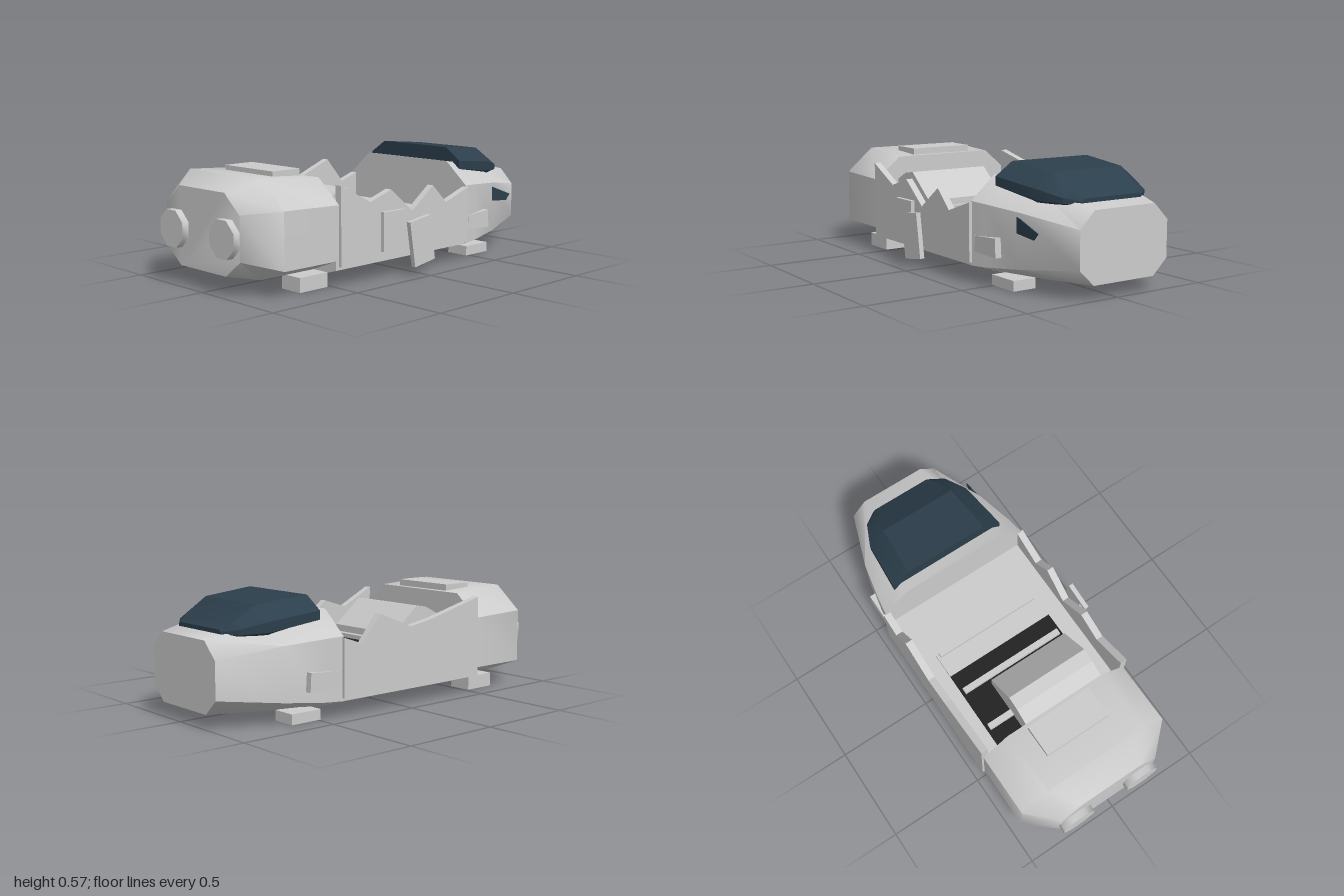
import * as THREE from 'three';
import { toCreasedNormals } from 'three/addons/utils/BufferGeometryUtils.js';

const CZ = -0.037; // centre line of the hull

const grey = new THREE.MeshStandardMaterial({ color: 0xcccccc });
grey.name = 'hull grey';
const glass = new THREE.MeshStandardMaterial({ color: 0x2c3f4c });
glass.name = 'dark glass';
const black = new THREE.MeshStandardMaterial({ color: 0x222222 });
black.name = 'deck black';

// Closed loft of eight-sided sections: [x, bottom, sideLow, sideHigh, top, halfSide, halfTop, halfBottom]
function loft(sections, crease) {
  const pos = [], idx = [], n = 8;
  for (const [x, y0, s0, s1, y1, half, top, bot] of sections) {
    const ring = [[-bot, y0], [-half, s0], [-half, s1], [-top, y1], [top, y1], [half, s1], [half, s0], [bot, y0]];
    for (const [z, y] of ring) pos.push(x, y, z + CZ);
  }
  const last = (sections.length - 1) * n;
  for (let i = 0; i < last; i += n) {
    for (let j = 0; j < n; j++) {
      const k = (j + 1) % n;
      idx.push(i + j, i + k, i + n + k, i + j, i + n + k, i + n + j);
    }
  }
  for (let j = 1; j < n - 1; j++) idx.push(0, j + 1, j, last, last + j, last + j + 1);
  const geo = new THREE.BufferGeometry();
  geo.setAttribute('position', new THREE.Float32BufferAttribute(pos, 3));
  geo.setIndex(idx);
  return toCreasedNormals(geo, crease);
}

// Flat outline in x and y, extruded from z0 to z1
function plate(points, z0, z1) {
  const shape = new THREE.Shape(points.map(([x, y]) => new THREE.Vector2(x, y)));
  const geo = new THREE.ExtrudeGeometry(shape, { depth: z1 - z0, bevelEnabled: false });
  return geo.translate(0, 0, z0);
}

function span(x0, x1, y0, y1, z0, z1) {
  return new THREE.BoxGeometry(x1 - x0, y1 - y0, z1 - z0)
    .translate((x0 + x1) / 2, (y0 + y1) / 2, (z0 + z1) / 2);
}

export function createModel() {
  const model = new THREE.Group();
  model.name = 'wreckedShip';
  const add = (name, geo, mat = grey) => {
    const mesh = new THREE.Mesh(geo, mat);
    mesh.name = name;
    model.add(mesh);
    return mesh;
  };

  // Hull: rear pod, open middle, tapered nose
  add('rearHull', loft([
    [-0.965, 0.09, 0.17, 0.38, 0.47, 0.275, 0.17, 0.17],
    [-0.83, 0.065, 0.13, 0.40, 0.525, 0.417, 0.27, 0.25],
    [-0.5, 0.065, 0.13, 0.39, 0.505, 0.417, 0.28, 0.25],
  ], 0.85));
  add('middleHull', loft([
    [-0.52, 0.03, 0.085, 0.24, 0.25, 0.415, 0.405, 0.235],
    [0.41, 0.03, 0.085, 0.24, 0.25, 0.415, 0.405, 0.235],
  ], 0.4));
  add('noseHull', loft([
    [0.4, 0.03, 0.085, 0.39, 0.505, 0.417, 0.285, 0.235],
    [0.5, 0.035, 0.09, 0.385, 0.49, 0.402, 0.27, 0.23],
    [0.7, 0.048, 0.11, 0.37, 0.462, 0.36, 0.24, 0.21],
    [1.0, 0.07, 0.145, 0.325, 0.405, 0.255, 0.175, 0.175],
  ], 0.8));

  // Cockpit glazing
  add('canopy', loft([
    [0.46, 0.455, 0.462, 0.505, 0.57, 0.32, 0.225, 0.3],
    [0.735, 0.41, 0.425, 0.475, 0.545, 0.295, 0.205, 0.28],
    [0.86, 0.41, 0.42, 0.445, 0.472, 0.24, 0.185, 0.22],
    [0.91, 0.41, 0.42, 0.43, 0.442, 0.172, 0.16, 0.16],
  ], 0.4), glass);
  add('sideWindow', plate([[0.68, 0.275], [0.81, 0.262], [0.84, 0.295], [0.685, 0.35]], 0.32, 0.326), glass);

  // Torn side walls
  add('leftWall', plate([
    [-0.5, 0.1], [0.405, 0.1], [0.405, 0.385], [0.23, 0.325], [0.13, 0.42],
    [-0.02, 0.31], [-0.17, 0.43], [-0.31, 0.385], [-0.5, 0.48],
  ], 0.358, 0.394));
  add('rightWall', plate([
    [-0.5, 0.1], [0.405, 0.1], [0.405, 0.385], [0.29, 0.345], [0.18, 0.475],
    [-0.02, 0.395], [-0.17, 0.42], [-0.5, 0.5],
  ], -0.465, -0.428));

  // Loose panels beside the hull
  add('patchPanel', span(-0.24, -0.09, 0.138, 0.33, 0.39, 0.415));
  add('loosePanel', plate([[-0.07, 0.045], [0.073, 0.068], [0.038, 0.292], [-0.108, 0.27]], 0.438, 0.462));

  // Exposed deck and machinery
  add('openDeck', span(-0.48, 0.05, 0.251, 0.258, -0.345, 0.267), black);
  add('machineBlock', plate([
    [-0.48, 0.25], [-0.17, 0.25], [-0.17, 0.31], [-0.33, 0.44], [-0.4, 0.43], [-0.48, 0.39],
  ], -0.19, 0.262));
  add('shortBeam', span(-0.375, -0.343, 0.25, 0.28, -0.33, -0.19));
  add('longBeam', span(-0.148, -0.117, 0.25, 0.28, -0.33, 0.252));
  add('deckPlate', span(-0.025, 0.11, 0.25, 0.265, -0.345, 0.267));
  add('deckRib', span(0.085, 0.11, 0.25, 0.285, -0.33, 0.252));

  // Roof hatch, following the roof slope
  add('roofHatch', span(-0.69, -0.525, 0.49, 0.54, -0.215, 0.138));

  // Exhausts
  for (const z of [-0.23, 0.15]) {
    const geo = toCreasedNormals(new THREE.CylinderGeometry(0.095, 0.095, 0.05, 8).rotateY(Math.PI / 8), 0.9);
    geo.rotateZ(Math.PI / 2).translate(-0.975, 0.267, z);
    add('exhaust', geo);
  }

  // Landing feet and nose side blocks
  for (const [z0, z1] of [[0.195, 0.32], [-0.39, -0.268]]) {
    add('rearFoot', span(-0.69, -0.52, 0, 0.07, z0, z1));
    add('frontFoot', span(0.485, 0.655, 0, 0.05, z0, z1));
  }
  for (const [z0, z1] of [[0.3, 0.378], [-0.452, -0.374]]) {
    add('sideBlock', plate([[0.425, 0.155], [0.595, 0.15], [0.59, 0.242], [0.43, 0.23]], z0, z1));
  }
  return model;
}
